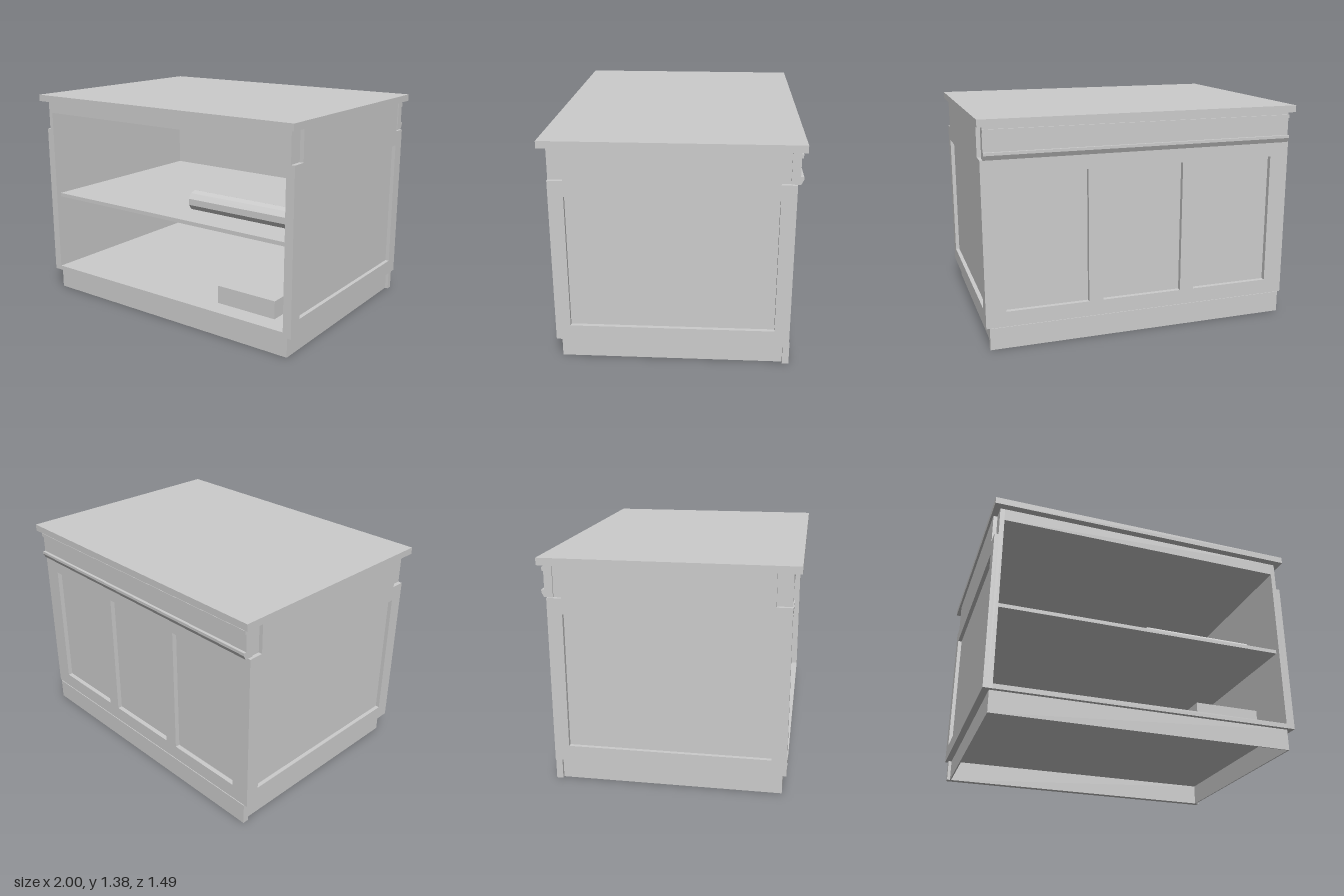
import * as THREE from 'three';

const grey = new THREE.MeshStandardMaterial({ color: 0xcccccc });
grey.name = 'plain grey';

export function createModel() {
  const model = new THREE.Group();
  model.name = 'counter';

  const add = (name, geometry) => {
    const mesh = new THREE.Mesh(geometry, grey);
    mesh.name = name;
    model.add(mesh);
    return mesh;
  };
  // Box given by its lower and upper limits on each axis
  const box = (name, x0, x1, y0, y1, z0, z1) => {
    const mesh = add(name, new THREE.BoxGeometry(x1 - x0, y1 - y0, z1 - z0));
    mesh.position.set((x0 + x1) / 2, (y0 + y1) / 2, (z0 + z1) / 2);
    return mesh;
  };
  const outline = (points) => points.map(([u, v]) => new THREE.Vector2(u, v));
  const rectangle = (u0, u1, v0, v1) =>
    new THREE.Path(outline([[u0, v0], [u0, v1], [u1, v1], [u1, v0]]));
  const extrude = (shape, depth) =>
    new THREE.ExtrudeGeometry(shape, { depth, bevelEnabled: false });

  // Worktop
  box('worktop', -1, 1, 1.342, 1.385, -0.745, 0.745);

  // Side walls: a plain inner board and a framed outer layer, notched at the top corners
  const sideShape = new THREE.Shape(outline([
    [-0.7, 0.135], [0.7, 0.135], [0.7, 1.15], [0.61, 1.15],
    [0.61, 1.342], [-0.61, 1.342], [-0.61, 1.15], [-0.7, 1.15],
  ]));
  sideShape.holes.push(rectangle(-0.61, 0.61, 0.23, 1.055));
  for (const side of [-1, 1]) {
    const label = side > 0 ? 'left' : 'right';
    box(label + 'SideBoard', side * 0.945 - 0.015, side * 0.945 + 0.015, 0.135, 1.342, -0.67, 0.7);
    const frame = add(label + 'SideFrame', extrude(sideShape, 0.025));
    frame.rotation.y = side * Math.PI / 2;
    frame.position.x = side * 0.96;
  }

  // Back wall with three recessed panels
  const backShape = new THREE.Shape(outline([
    [-0.96, 0.135], [0.96, 0.135], [0.96, 1.15], [-0.96, 1.15],
  ]));
  for (const x of [-0.605, 0, 0.605]) {
    backShape.holes.push(rectangle(x - 0.257, x + 0.257, 0.23, 1.06));
  }
  add('backFrame', extrude(backShape, 0.035)).position.z = -0.7;
  box('backBoard', -0.93, 0.93, 0.135, 1.342, -0.67, -0.64);

  // Moulded frieze along the top of the back; profile is (-z, y)
  const friezeShape = new THREE.Shape(outline([
    [0.665, 1.15], [0.718, 1.15], [0.733, 1.178], [0.733, 1.195], [0.715, 1.195],
    [0.715, 1.303], [0.725, 1.303], [0.725, 1.325], [0.715, 1.325], [0.715, 1.342], [0.665, 1.342],
  ]));
  const frieze = add('backFrieze', extrude(friezeShape, 1.936));
  frieze.rotation.y = Math.PI / 2;
  frieze.position.x = -0.968;

  // Carcass boards and shelf
  box('floor', -0.93, 0.93, 0.135, 0.165, -0.64, 0.7);
  box('topRail', -0.93, 0.93, 1.262, 1.342, -0.64, 0.7);
  box('shelf', -0.93, 0.93, 0.67, 0.695, -0.64, 0.667);

  // Hollow plinth, with a wider board at the back
  box('plinthFront', -0.945, 0.945, 0, 0.135, 0.667, 0.675);
  for (const side of [-1, 1]) {
    box('plinthSide', side * 0.941 - 0.004, side * 0.941 + 0.004, 0, 0.135, -0.665, 0.667);
  }
  box('plinthBack', -0.965, 0.965, 0, 0.135, -0.705, -0.665);

  // Stored items: a ten-sided roll and a flat box
  const rollGeometry = new THREE.CylinderGeometry(0.065, 0.065, 0.735, 10).toNonIndexed();
  rollGeometry.computeVertexNormals();
  const roll = add('roll', rollGeometry);
  roll.rotation.z = Math.PI / 2;
  // Turn the roll so that one edge points straight up
  roll.geometry.rotateY(Math.PI / 2);
  roll.position.set(0.4575, 0.76, 0.44);
  box('storageBox', 0.375, 0.795, 0.165, 0.28, 0.183, 0.576);

  return model;
}
